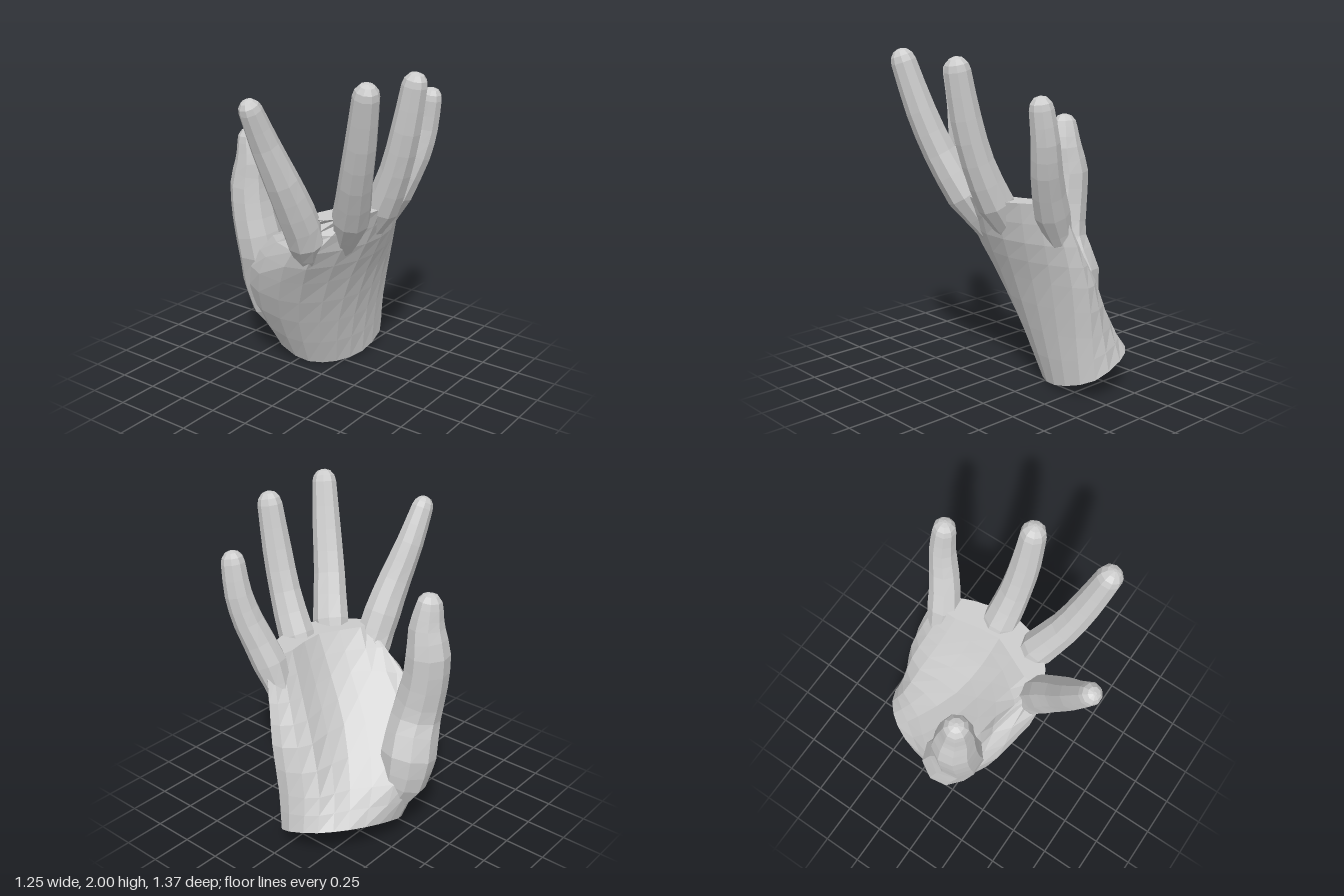
import * as THREE from 'three';

const V = (x, y, z) => new THREE.Vector3(x, y, z);
const material = new THREE.MeshStandardMaterial({ color: 0xcccccc, flatShading: true });

// Skin over rings that run counter-clockwise around the loft direction, capped at both ends
function loft(rings) {
  const n = rings[0].length, last = rings.length - 1;
  const points = rings.flat(), index = [];
  for (let i = 0; i < last; i++) {
    for (let j = 0; j < n; j++) {
      const a = i * n + j, b = i * n + (j + 1) % n;
      index.push(a, b, b + n, a, b + n, a + n);
    }
  }
  for (const end of [0, last]) {
    const centre = V(0, 0, 0);
    rings[end].forEach(p => centre.addScaledVector(p, 1 / n));
    const c = points.push(centre) - 1;
    for (let j = 0; j < n; j++) {
      const a = end * n + j, b = end * n + (j + 1) % n;
      if (end) index.push(a, b, c); else index.push(b, a, c);
    }
  }
  const g = new THREE.BufferGeometry().setFromPoints(points);
  g.setIndex(index);
  g.computeVertexNormals();
  return g;
}

// Finger: stations of x, y, z, radius, finished with a rounded tip
function finger(stations, sides = 9) {
  const curve = new THREE.CatmullRomCurve3(stations.map(s => V(s[0], s[1], s[2])));
  const spans = stations.length - 1, steps = spans * 2, rings = [];
  const ring = (centre, t, r) => {
    const u = V(0, 0, 1).addScaledVector(t, -t.z).normalize();
    const v = t.clone().cross(u);
    rings.push(Array.from({ length: sides }, (_, j) => {
      const a = (j + 0.5) / sides * Math.PI * 2;
      return centre.clone().addScaledVector(u, r * Math.cos(a)).addScaledVector(v, r * Math.sin(a));
    }));
  };
  for (let i = 0; i <= steps; i++) {
    const f = i / steps * spans, k = Math.min(Math.floor(f), spans - 1);
    const r = THREE.MathUtils.lerp(stations[k][3], stations[k + 1][3], f - k);
    ring(curve.getPoint(i / steps), curve.getTangent(i / steps), r);
  }
  const tip = curve.getPoint(1), t = curve.getTangent(1), r = stations[spans][3];
  for (const [along, scale] of [[0.5, 0.87], [0.88, 0.55], [1.02, 0.15]]) {
    ring(tip.clone().addScaledVector(t, r * along), t, r * scale);
  }
  return loft(rings);
}

// Palm sections: height, slope in x and z about a pivot, then x,z pairs around the outline
// starting at the little-finger edge, over the back of the hand, out along the thumb web
// and returning along the palm
const palmSections = [
  { y: 0.12, sx: -0.36, sz: -0.3, px: -0.2, pz: -0.37,
    o: [0.01, -0.67, 0.06, -0.43, -0.03, -0.2, -0.2, -0.06, -0.45, -0.09, -0.47, -0.28, -0.39, -0.52, -0.23, -0.675] },
  { y: 0.4, sx: -0.1, sz: -0.05, px: -0.2, pz: -0.3,
    o: [0.03, -0.66, 0.11, -0.4, 0.06, -0.1, -0.16, 0.12, -0.49, 0.07, -0.5, -0.15, -0.3, -0.4, -0.19, -0.61] },
  { y: 0.7, sx: 0, sz: 0, px: 0, pz: 0,
    o: [0.07, -0.66, 0.18, -0.4, 0.18, -0.05, -0.04, 0.25, -0.42, 0.17, -0.34, 0, -0.1, -0.22, -0.09, -0.56] },
  { y: 0.94, sx: 0, sz: 0, px: 0, pz: 0,
    o: [0.12, -0.62, 0.25, -0.42, 0.29, -0.05, 0.09, 0.31, -0.25, 0.16, -0.12, 0.1, 0.07, -0.14, 0.03, -0.5] },
  { y: 1.17, sx: 0, sz: -0.05, px: 0, pz: -0.2,
    o: [0.19, -0.56, 0.29, -0.42, 0.37, -0.08, 0.28, 0.15, 0.14, 0.26, 0.08, 0.2, 0.2, -0.1, 0.15, -0.44] },
];

function palm(sides = 20, between = 2) {
  const outlines = palmSections.map(s => {
    const pts = [];
    for (let i = 0; i < s.o.length; i += 2) {
      const x = s.o[i], z = s.o[i + 1];
      pts.push(V(x, s.y + s.sx * (x - s.px) + s.sz * (z - s.pz), z));
    }
    const c = new THREE.CatmullRomCurve3(pts, true);
    return Array.from({ length: sides }, (_, j) => c.getPoint((sides - 1 - j) / sides));
  });
  // Smooth the wall from wrist to knuckles along each side
  const walls = outlines[0].map((_, j) => new THREE.CatmullRomCurve3(outlines.map(o => o[j])));
  const steps = (outlines.length - 1) * between;
  return loft(Array.from({ length: steps + 1 }, (_, i) => walls.map(w => w.getPoint(i / steps))));
}

// Each finger starts narrow inside the palm and swells at the knuckle
const fingers = {
  indexFinger: [[0.03, 0.82, 0.18, 0.06], [0.07, 1.0, 0.25, 0.115], [0.06, 1.2, 0.335, 0.115],
    [0.04, 1.4, 0.43, 0.102], [0, 1.62, 0.52, 0.085], [-0.02, 1.825, 0.61, 0.067]],
  middleFinger: [[0.17, 0.9, 0.03, 0.06], [0.3, 1.15, 0.125, 0.112], [0.4, 1.4, 0.23, 0.098],
    [0.48, 1.65, 0.3, 0.089], [0.55, 1.93, 0.36, 0.075]],
  ringFinger: [[0.17, 0.9, -0.19, 0.06], [0.32, 1.15, -0.165, 0.11], [0.43, 1.4, -0.14, 0.095],
    [0.5, 1.65, -0.125, 0.088], [0.55, 1.91, -0.12, 0.075]],
  littleFinger: [[0.11, 0.9, -0.51, 0.06], [0.21, 1.13, -0.51, 0.102], [0.31, 1.38, -0.565, 0.09],
    [0.35, 1.55, -0.595, 0.08], [0.38, 1.73, -0.595, 0.069]],
  thumb: [[-0.36, 0.2, -0.13, 0.08], [-0.43, 0.38, -0.07, 0.15], [-0.45, 0.56, -0.04, 0.17], [-0.435, 0.78, 0.04, 0.153],
    [-0.475, 1.0, 0.06, 0.14], [-0.495, 1.2, 0.06, 0.132], [-0.475, 1.36, 0.065, 0.107], [-0.48, 1.48, 0.075, 0.082]],
};

export function createModel() {
  const hand = new THREE.Group();
  hand.name = 'hand';
  const add = (name, geometry) => {
    const mesh = new THREE.Mesh(geometry, material);
    mesh.name = name;
    hand.add(mesh);
  };
  add('palm', palm());
  for (const [name, stations] of Object.entries(fingers)) add(name, finger(stations));
  return hand;
}
